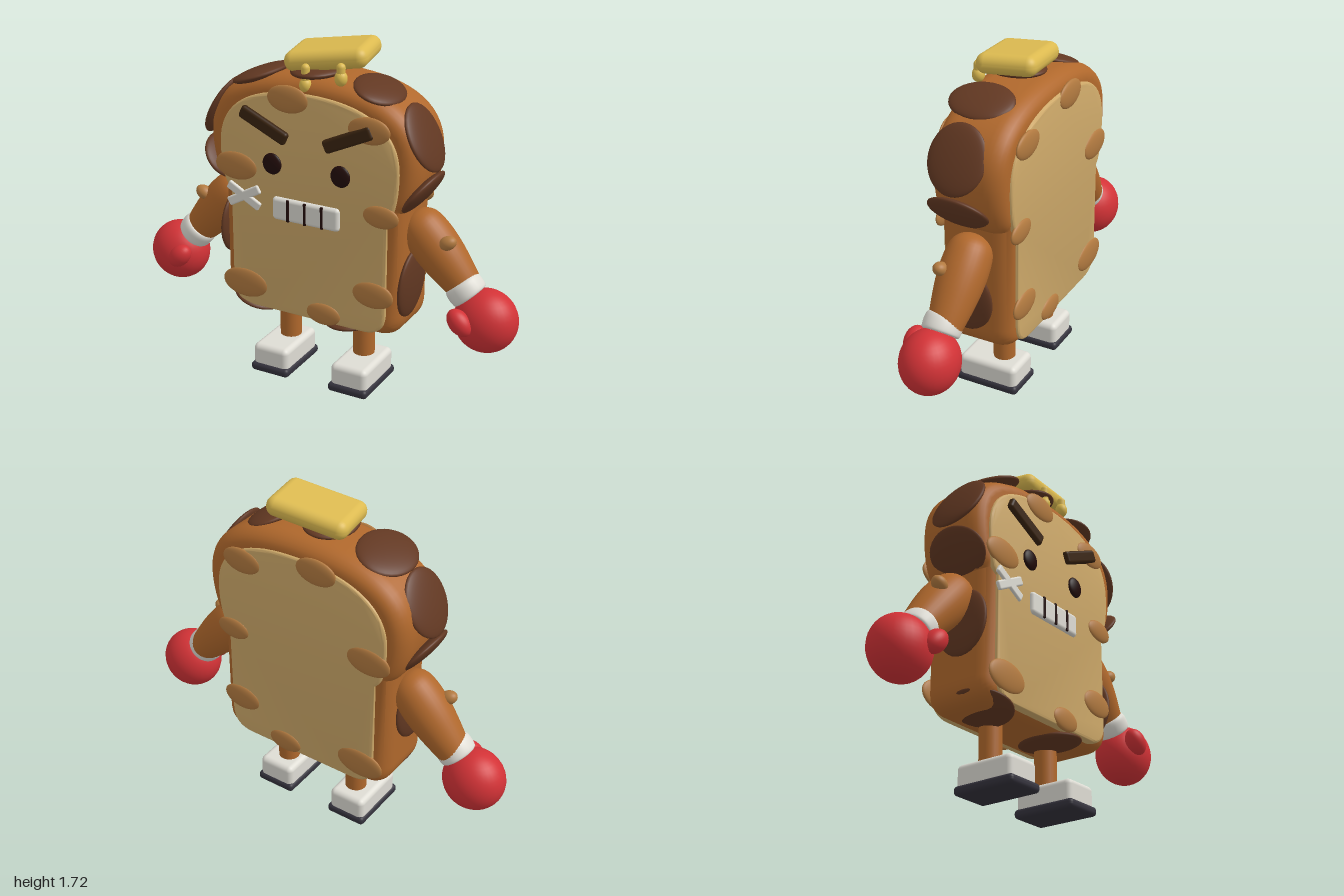
import * as THREE from 'three';
import { toCreasedNormals } from 'three/addons/utils/BufferGeometryUtils.js';
import { RoundedBoxGeometry } from 'three/addons/geometries/RoundedBoxGeometry.js';

const mat = (name, color) => {
  const m = new THREE.MeshStandardMaterial({ color });
  m.name = name;
  return m;
};

export function createModel() {
  const model = new THREE.Group();
  const crust = mat('crust brown', 0xb0682c);
  const crumb = mat('crumb tan', 0xcfaa6a);
  const toast = mat('toasted spot', 0xb27a40);
  const dark = mat('dark crust', 0x623822);
  const brow = mat('brow brown', 0x3a2410);
  const black = mat('eye black', 0x220c0a);
  const red = mat('glove red', 0xd23236);
  const white = mat('off white', 0xdedcd4);
  const sole = mat('sole grey', 0x34323c);
  const butter = mat('butter yellow', 0xdcba50);

  const add = (name, geo, material, pos, rot = [0, 0, 0], parent = model) => {
    const m = new THREE.Mesh(geo, material);
    m.name = name;
    m.position.set(...pos);
    m.rotation.set(...rot);
    parent.add(m);
    return m;
  };
  const ball = new THREE.SphereGeometry(1, 32, 20);
  const blob = (name, material, pos, size, rot, parent) => {
    const m = add(name, ball, material, pos, rot, parent);
    m.scale.set(...size);
    return m;
  };
  const box = (w, h, d, r) => new RoundedBoxGeometry(w, h, d, 4, r);
  const lathe = (pts) => new THREE.LatheGeometry(
    new THREE.SplineCurve(pts.map(([r, y]) => new THREE.Vector2(r, y))).getPoints(24), 32);

  // Slice outline: straight lower half, pinched waist, domed top
  const slice = (w, bulge, bottom, waist, top, corner) => {
    const s = new THREE.Shape();
    const mid = (waist + top) / 2 - 0.04;
    s.moveTo(-w + corner, bottom);
    s.lineTo(w - corner, bottom);
    s.quadraticCurveTo(w, bottom, w, bottom + corner);
    s.lineTo(w, waist);
    s.bezierCurveTo(w + 0.04, waist + 0.03, bulge, waist + 0.13, bulge, mid);
    s.bezierCurveTo(bulge, top - 0.09, bulge * 0.6, top, 0, top);
    s.bezierCurveTo(-bulge * 0.6, top, -bulge, top - 0.09, -bulge, mid);
    s.bezierCurveTo(-bulge, waist + 0.13, -w - 0.04, waist + 0.03, -w, waist);
    s.lineTo(-w, bottom + corner);
    s.quadraticCurveTo(-w, bottom, -w + corner, bottom);
    return s;
  };
  const slab = (shape, half, bevelSize, bevelThickness) => {
    const g = new THREE.ExtrudeGeometry(shape, {
      depth: 2 * (half - bevelThickness), bevelEnabled: true, bevelSize, bevelThickness,
      bevelOffset: -bevelSize, bevelSegments: 6, curveSegments: 16,
    });
    g.translate(0, 0, -(half - bevelThickness));
    return toCreasedNormals(g, 0.7);
  };
  add('crust', slab(slice(0.475, 0.55, 0.345, 0.98, 1.56, 0.12), 0.183, 0.07, 0.09), crust, [0, 0, 0]);
  add('crumb', slab(slice(0.415, 0.47, 0.365, 0.96, 1.49, 0.12), 0.196, 0.015, 0.015), crumb, [0, 0, 0]);

  // Toasted spots on both faces: x, y, half width, half height
  const spots = [
    [-0.095, 1.455, 0.108, 0.066], [0.32, 1.37, 0.105, 0.064], [-0.38, 1.085, 0.115, 0.07],
    [0.385, 0.97, 0.09, 0.055], [0.35, 0.57, 0.105, 0.066], [-0.345, 0.48, 0.125, 0.075],
    [0.09, 0.41, 0.092, 0.056],
  ];
  for (const [x, y, a, b] of spots) {
    for (const s of [1, -1]) blob('toastedSpot', toast, [x, y, s * 0.193], [a, b, 0.02]);
  }

  // Dark patches around the crust: x, y, half length, tilt, half depth
  const patches = [
    [-0.525, 1.33, 0.165, 1.1, 0.145], [0.525, 1.33, 0.165, -1.1, 0.145],
    [-0.315, 1.515, 0.138, 0.33, 0.165], [0.3, 1.52, 0.118, -0.38, 0.16],
    [-0.015, 1.57, 0.125, 0.05, 0.15],
    [-0.525, 1.07, 0.125, -0.92, 0.155], [0.525, 1.07, 0.125, 0.92, 0.155],
    [-0.48, 0.735, 0.165, 1.53, 0.14], [0.478, 0.605, 0.175, 1.5, 0.14],
    [-0.34, 0.37, 0.138, -0.33, 0.16], [0.17, 0.352, 0.135, 0.05, 0.16],
  ];
  for (const [x, y, len, tilt, depth] of patches) {
    blob('darkCrustPatch', dark, [x, y, 0.045], [len, 0.03, depth], [0, 0, tilt]);
  }

  // Face
  for (const s of [1, -1]) {
    blob('eye', black, [s * 0.18, 1.13, 0.198], [0.05, 0.052, 0.018]);
    add('eyebrow', box(0.265, 0.065, 0.04, 0.015), brow, [s * 0.22, 1.315, 0.2], [0, 0, s * 0.43]);
  }
  add('teeth', box(0.355, 0.115, 0.04, 0.019), white, [0, 0.913, 0.194], [0, 0, 0]);
  for (const x of [-0.09, 0, 0.09]) {
    add('toothGap', box(0.014, 0.11, 0.01, 0.003), black, [x, 0.913, 0.213]);
  }
  for (const s of [1, -1]) {
    add('bandageStrip', box(0.195, 0.045, 0.02, 0.009), white, [-0.337, 0.943, 0.2], [0, 0, s * 0.5]);
  }

  // Butter pat with melting drips
  add('butterPat', box(0.4, 0.095, 0.285, 0.045), butter, [0.037, 1.643, 0.005], [0.04, 0.17, 0.13]);
  const drip = (x, y, z, r, len) => {
    add('butterDrip', new THREE.CapsuleGeometry(r * 0.7, len, 6, 16), butter, [x, y + len / 2, z]);
    blob('butterDripTip', butter, [x, y, z], [r, r * 1.2, r]);
  };
  drip(-0.017, 1.525, 0.165, 0.029, 0.08);
  drip(0.153, 1.575, 0.145, 0.03, 0.05);

  // Arms with boxing gloves
  const armGeo = lathe([[0.001, 0.11], [0.06, 0.092], [0.1, 0.045], [0.113, -0.04],
    [0.11, -0.14], [0.095, -0.25], [0.078, -0.34]]);
  const cuffGeo = lathe([[0.06, 0.042], [0.08, 0.04], [0.09, 0.02], [0.091, -0.02], [0.084, -0.04], [0.06, -0.042]]);
  for (const s of [1, -1]) {
    const arm = new THREE.Group();
    arm.name = s > 0 ? 'leftArm' : 'rightArm';
    arm.position.set(s * 0.52, 0.86, 0);
    arm.rotation.z = s * 0.73;
    model.add(arm);
    add('upperArm', armGeo, crust, [0, 0, 0], [0, 0, 0], arm);
    add('cuff', cuffGeo, white, [0, -0.325, 0.012], [0, 0, 0], arm);
    blob('armSpot', toast, [s * 0.66, 0.85, 0.062], [0.045, 0.033, 0.035], [0, 0, s * 0.5]);
    blob('glove', red, [s * 0.847, 0.485, 0.017], [0.153, 0.153, 0.138]);
    blob('gloveThumb', red, [s * 0.768, 0.51, 0.145], [0.072, 0.05, 0.05], [0, 0, s * -0.8]);
  }

  // Legs and shoes
  for (const s of [1, -1]) {
    add('leg', new THREE.CylinderGeometry(0.054, 0.054, 0.3, 24), crust, [s * 0.207, 0.26, -0.008]);
    add('shoe', box(0.195, 0.125, 0.31, 0.028), white, [s * 0.218, 0.083, 0.036]);
    add('shoeSole', box(0.212, 0.046, 0.332, 0.02), sole, [s * 0.218, 0.023, 0.038]);
  }
  // Lathe profiles run downward, so flip the winding to face outward
  for (const g of [armGeo, cuffGeo]) {
    const p = g.attributes.position, n = g.attributes.normal, ix = g.index.array;
    const k = 24 * 3;
    const i = ix[k], a = new THREE.Vector3().fromBufferAttribute(p, i);
    const b = new THREE.Vector3().fromBufferAttribute(p, ix[k + 1]).sub(a);
    const c = new THREE.Vector3().fromBufferAttribute(p, ix[k + 2]).sub(a);
    if (b.cross(c).dot(new THREE.Vector3(a.x, 0, a.z)) < 0) {
      for (let t = 0; t < ix.length; t += 3) [ix[t], ix[t + 1]] = [ix[t + 1], ix[t]];
    }
    for (let v = 0; v < p.count; v++) {
      if (n.getX(v) * p.getX(v) + n.getZ(v) * p.getZ(v) < 0) n.setXYZ(v, -n.getX(v), -n.getY(v), -n.getZ(v));
    }
  }
  return model;
}
